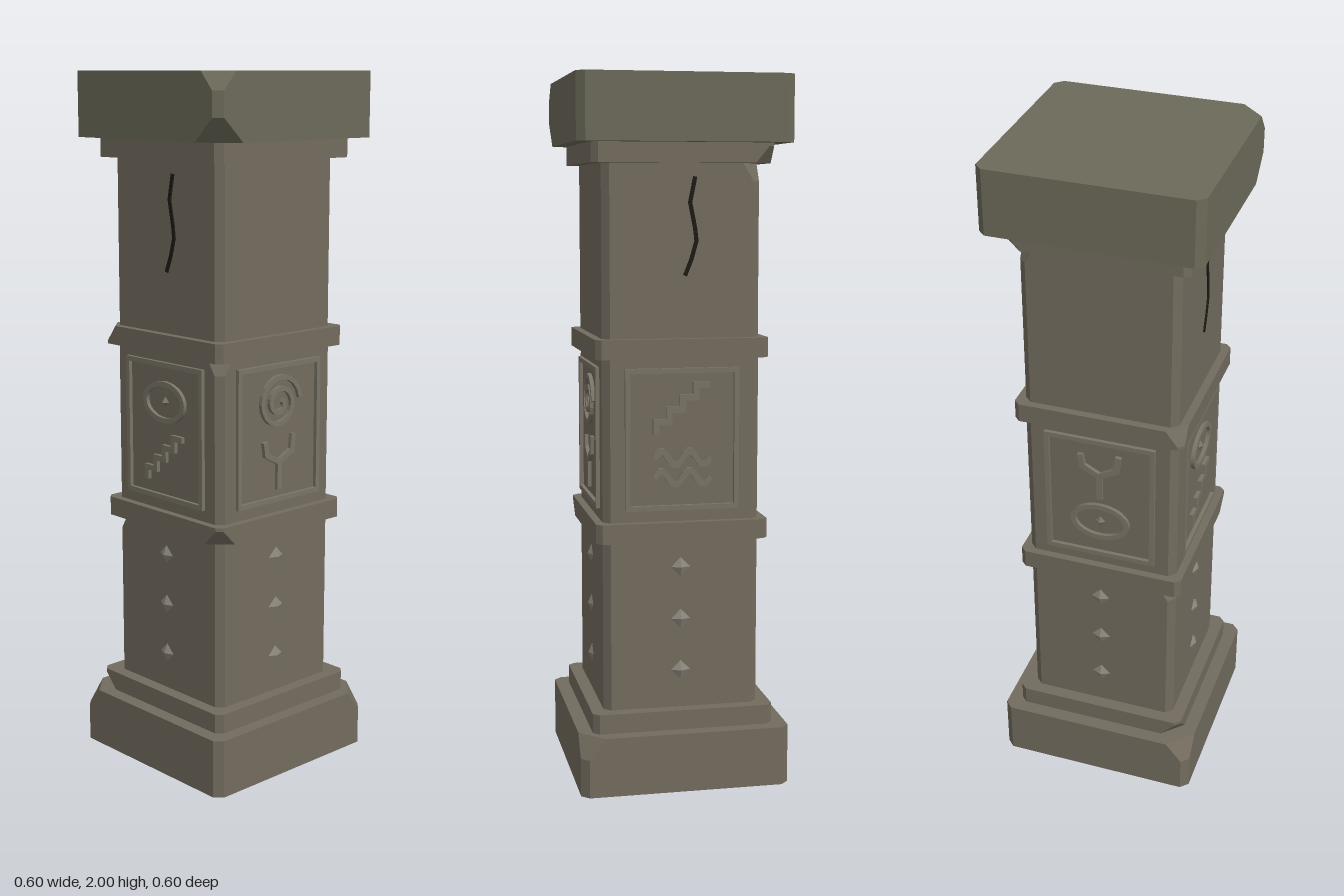
import * as THREE from 'three';
import { ConvexGeometry } from 'three/addons/geometries/ConvexGeometry.js';

const mat = (color) => new THREE.MeshStandardMaterial({ color });
const stone = mat(0x726b5e), mossy = mat(0x6c6a59), relief = mat(0x7a7467), studStone = mat(0x8a857a), dark = mat(0x1d1a17);
const V2 = (x, y) => new THREE.Vector2(x, y);

// Square block with bevelled vertical edges; chips are [sx, sz, 'top' | 'bottom', size, depth]
function block(name, half, y0, y1, bevel, chips = [], material = stone) {
  const points = [];
  for (const sx of [-1, 1]) for (const sz of [-1, 1]) {
    const rows = { bottom: [[y0, bevel]], top: [[y1, bevel]] };
    for (const [cx, cz, end, size, depth] of chips) {
      if (cx !== sx || cz !== sz) continue;
      rows[end] = end === 'top' ? [[y1 - depth, bevel], [y1, size]] : [[y0, size], [y0 + depth, bevel]];
    }
    for (const [y, c] of [...rows.bottom, ...rows.top]) {
      points.push(new THREE.Vector3(sx * half, y, sz * (half - c)));
      points.push(new THREE.Vector3(sx * (half - c), y, sz * half));
    }
  }
  const mesh = new THREE.Mesh(new ConvexGeometry(points), material);
  mesh.name = name;
  return mesh;
}

// Outline shape extruded into a shallow relief on the face plane
function raised(shape, depth) {
  return new THREE.ExtrudeGeometry(shape, { depth, bevelEnabled: false, curveSegments: 32 });
}

// Mitred ribbon of constant width along a 2D polyline
function ribbon(pts, width, depth) {
  const left = [], right = [];
  pts.forEach((p, i) => {
    const a = pts[Math.max(i - 1, 0)], b = pts[Math.min(i + 1, pts.length - 1)];
    const d1 = p.clone().sub(a), d2 = b.clone().sub(p);
    if (i === 0) d1.copy(d2);
    if (i === pts.length - 1) d2.copy(d1);
    d1.normalize();
    d2.normalize();
    const t = d1.clone().add(d2).normalize();
    const w = width / 2 / Math.max(0.5, t.dot(d1));
    left.push(V2(p.x - t.y * w, p.y + t.x * w));
    right.unshift(V2(p.x + t.y * w, p.y - t.x * w));
  });
  return raised(new THREE.Shape([...left, ...right]), depth);
}

function diamond(rx, ry, rz) {
  return new THREE.OctahedronGeometry(1).scale(rx, ry, rz);
}

const STROKE = 0.017, RISE = 0.017;

// Carved symbols, each centred on its own origin
const symbols = {
  eye() {
    const ring = new THREE.Shape().absellipse(0, 0, 0.088, 0.06, 0, Math.PI * 2);
    ring.holes.push(new THREE.Path().absellipse(0, 0, 0.072, 0.045, 0, Math.PI * 2));
    return [raised(ring, RISE), diamond(0.016, 0.016, 0.012).translate(0, 0, 0.008)];
  },
  steps() {
    const pts = [V2(-0.075, -0.07)];
    for (let i = 0; i < 4; i++) {
      const x = -0.075 + i * 0.038, y = -0.035 + i * 0.034;
      pts.push(V2(x, y), V2(x + 0.038, y));
    }
    return [ribbon(pts, STROKE, RISE)];
  },
  spiral() {
    const pts = [];
    for (let i = 0; i <= 40; i++) {
      const t = i / 40, a = 0.1 + t * Math.PI * 4.2, r = 0.083 - 0.07 * t;
      pts.push(V2(r * Math.cos(a), r * Math.sin(a)));
    }
    return [ribbon(pts, 0.014, RISE)];
  },
  branch() {
    const arms = [V2(-0.056, 0.06), V2(-0.05, 0.022), V2(0, -0.005), V2(0.05, 0.022), V2(0.056, 0.07)];
    return [ribbon(arms, STROKE, RISE), ribbon([V2(0, 0), V2(0, -0.085)], STROKE, RISE)];
  },
  waves() {
    return [0.028, -0.028].map((y0) => {
      const pts = [];
      for (let i = 0; i <= 20; i++) {
        const t = i / 20;
        pts.push(V2(-0.08 + 0.16 * t, y0 + 0.02 * Math.sin(t * Math.PI * 4)));
      }
      return ribbon(pts, STROKE, RISE);
    });
  },
};

function addMesh(parent, name, geometry, material, x, y, z) {
  const mesh = new THREE.Mesh(geometry, material);
  mesh.name = name;
  mesh.position.set(x, y, z);
  parent.add(mesh);
}

// Everything carved on one side of the pillar, built facing +z
function face(name, upper, lower, cracked) {
  const g = new THREE.Group();
  g.name = name;

  // Rectangular frame around the symbols
  const rect = (w, h) => [V2(-w, -h), V2(w, -h), V2(w, h), V2(-w, h)];
  const frame = new THREE.Shape(rect(0.162, 0.2));
  frame.holes.push(new THREE.Path(rect(0.148, 0.186)));
  addMesh(g, 'panelFrame', raised(frame, RISE), relief, 0, 1.0, 0.217);

  for (const geo of symbols[upper]()) addMesh(g, upper + 'Carving', geo, relief, 0, 1.085, 0.217);
  for (const geo of symbols[lower]()) addMesh(g, lower + 'Carving', geo, relief, 0, 0.92, 0.217);

  // Diamond studs on the lower shaft
  for (const y of [0.335, 0.485, 0.635]) {
    addMesh(g, 'stud', diamond(0.03, 0.03, 0.013), studStone, -0.003, y, 0.222);
  }

  // Crack on the upper shaft
  if (cracked) {
    const path = [[0.036, 1.725], [0.022, 1.655], [0.036, 1.585], [0.04, 1.55], [0.026, 1.5], [0.008, 1.455]];
    addMesh(g, 'crack', ribbon(path.map((p) => V2(...p)), 0.011, 0.008), dark, 0, 0, 0.218);
  }
  return g;
}

export function createModel() {
  const model = new THREE.Group();
  model.name = 'stonePillar';

  model.add(
    block('base', 0.3, 0, 0.17, 0.022, [[1, -1, 'top', 0.07, 0.06], [-1, 1, 'top', 0.07, 0.06]]),
    block('baseTrim', 0.26, 0.17, 0.226, 0.018, [[-1, 1, 'bottom', 0.06, 0.045]]),
    block('lowerShaft', 0.223, 0.226, 0.712, 0.02, [[-1, 1, 'top', 0.045, 0.04]]),
    block('lowerBand', 0.245, 0.712, 0.767, 0.016, [[1, 1, 'bottom', 0.06, 0.045]]),
    block('middleShaft', 0.223, 0.767, 1.227, 0.02, [[1, 1, 'top', 0.045, 0.04]]),
    block('upperBand', 0.245, 1.227, 1.282, 0.016, [[-1, 1, 'top', 0.05, 0.045]]),
    block('upperShaft', 0.222, 1.282, 1.762, 0.02, [[-1, -1, 'top', 0.05, 0.05]]),
    block('capTrim', 0.255, 1.762, 1.817, 0.018, [[-1, -1, 'bottom', 0.055, 0.045]]),
    block('cap', 0.3, 1.817, 2, 0.022, [[1, 1, 'top', 0.065, 0.05], [1, 1, 'bottom', 0.09, 0.065]], mossy),
  );

  // Four carved sides, turned round the pillar
  const sides = [
    ['frontFace', 'eye', 'steps', true],
    ['leftFace', 'spiral', 'branch', false],
    ['backFace', 'steps', 'waves', true],
    ['rightFace', 'branch', 'eye', false],
  ];
  sides.forEach((side, i) => {
    const g = face(...side);
    g.rotation.y = i * Math.PI / 2;
    model.add(g);
  });
  return model;
}
